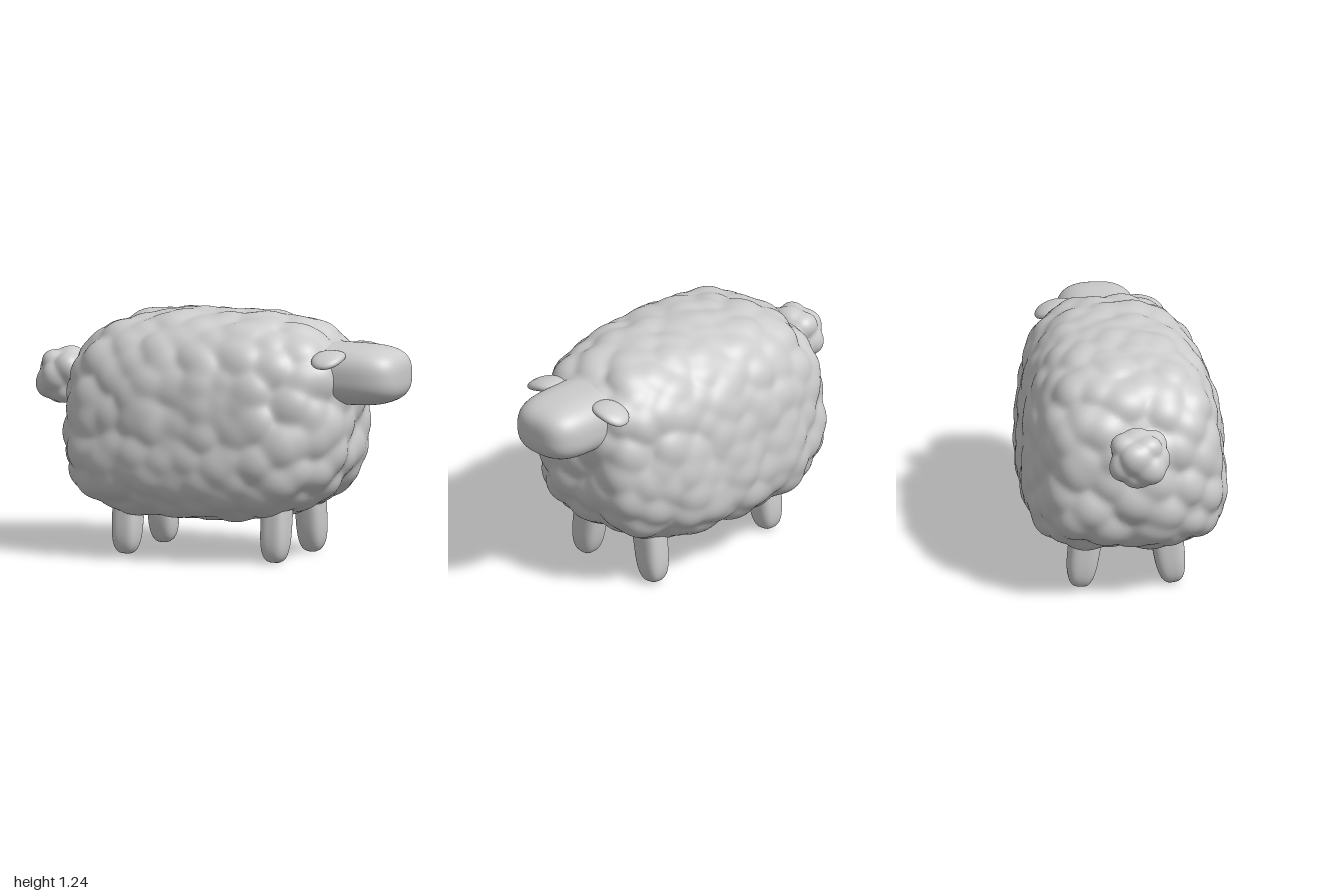
import * as THREE from 'three';
import { mergeVertices } from 'three/addons/utils/BufferGeometryUtils.js';

const material = new THREE.MeshStandardMaterial({ color: 0xcccccc });

// Smooth sphere whose vertices are moved by a rule
function shapedBall(detail, rule) {
  let g = new THREE.IcosahedronGeometry(1, detail);
  g.deleteAttribute('uv');
  g.deleteAttribute('normal');
  g = mergeVertices(g, 1e-5);
  const p = g.attributes.position, v = new THREE.Vector3();
  for (let i = 0; i < p.count; i++) {
    rule(v.fromBufferAttribute(p, i));
    p.setXYZ(i, v.x, v.y, v.z);
  }
  g.computeVertexNormals();
  return g;
}

// Pushes a direction out to a rounded block with half sizes r;
// e is the roundness of the y-z section, ex that of the ends along x
function toSuper(v, r, e, ex = e) {
  const section = (Math.abs(v.y / r.y) ** e + Math.abs(v.z / r.z) ** e) ** (ex / e);
  return v.multiplyScalar((section + Math.abs(v.x / r.x) ** ex) ** (-1 / ex));
}

// Evenly spread, slightly jittered directions
function spread(count, jitter) {
  let seed = 7;
  const rnd = () => (seed = (seed * 16807) % 2147483647) / 2147483647 - 0.5;
  return Array.from({ length: count }, (_, i) => {
    const y = 1 - (2 * i + 1) / count, a = i * 2.39996, s = Math.sqrt(1 - y * y);
    return new THREE.Vector3(s * Math.cos(a) + rnd() * jitter, y + rnd() * jitter, s * Math.sin(a) + rnd() * jitter).normalize();
  });
}

// Woolly surface: soft domes of varied height around scattered tuft centres
function woolly(detail, base, count, jitter, depth, soft) {
  const tufts = spread(count, jitter).map(base);
  const weights = tufts.map((_, i) => Math.exp(0.9 * Math.sin(i * 5)));
  return shapedBall(detail, (v) => {
    const n = v.clone();
    base(v);
    let sum = 1e-12;
    tufts.forEach((t, i) => { sum += weights[i] * Math.exp(-soft * t.distanceToSquared(v)); });
    v.addScaledVector(n, -Math.min(depth * -Math.log(sum) / soft, 0.04));
  });
}

function add(parent, name, geometry, x, y, z) {
  const m = new THREE.Mesh(geometry, material);
  m.name = name;
  m.position.set(x, y, z);
  parent.add(m);
  return m;
}

export function createModel() {
  const group = new THREE.Group();
  group.name = 'sheep';

  // Fleece: fuller belly, tapers upward and towards the head, top leaning forward
  const bodySize = new THREE.Vector3(0.76, 0.522, 0.497);
  const bodyBase = (v) => {
    toSuper(v, bodySize, v.y < 0 ? 3.4 : 2.9, 3.15);
    const nx = v.x / bodySize.x, ny = v.y / bodySize.y;
    v.z *= (1 - 0.09 * ny) * (1 - 0.07 * nx);
    v.x += 0.035 * ny;
    return v;
  };
  add(group, 'fleece', woolly(44, bodyBase, 270, 0.13, 2.7, 300), -0.03, 0.71, 0);

  // Tail: a small ball with large tufts
  const tailSize = new THREE.Vector3(0.135, 0.148, 0.163);
  const tailBase = (v) => toSuper(v, tailSize, 2.6);
  add(group, 'tail', woolly(16, tailBase, 13, 0.25, 3.4, 400), -0.862, 0.852, 0);

  // Head: a rounded block
  const headSize = new THREE.Vector3(0.31, 0.152, 0.205);
  add(group, 'head', shapedBall(20, (v) => toSuper(v, headSize, 2.7, 3.4)), 0.69, 0.95, 0);

  // Ears: flat, drooping outward
  const earSize = new THREE.Vector3(0.08, 0.03, 0.105);
  const legSize = new THREE.Vector3(0.07, 0.2, 0.08);
  for (const s of [1, -1]) {
    const ear = shapedBall(12, (v) => {
      toSuper(v, earSize, 2.2);
      v.y -= 1.2 * v.z * v.z;
    });
    const e = add(group, s > 0 ? 'rightEar' : 'leftEar', ear, 0.68, 1.052, s * 0.225);
    e.rotation.x = s * 0.24;

    // Legs: rounded posts splayed a little
    for (const x of [0.385, -0.43]) {
      const leg = shapedBall(14, (v) => {
        toSuper(v, legSize, 3.2);
        v.z *= 1 + 0.5 * v.y;
      });
      const l = add(group, x > 0 ? 'frontLeg' : 'hindLeg', leg, x, 0.201, s > 0 ? 0.203 : -0.22);
      l.rotation.x = -s * 0.13;
    }
  }
  return group;
}
